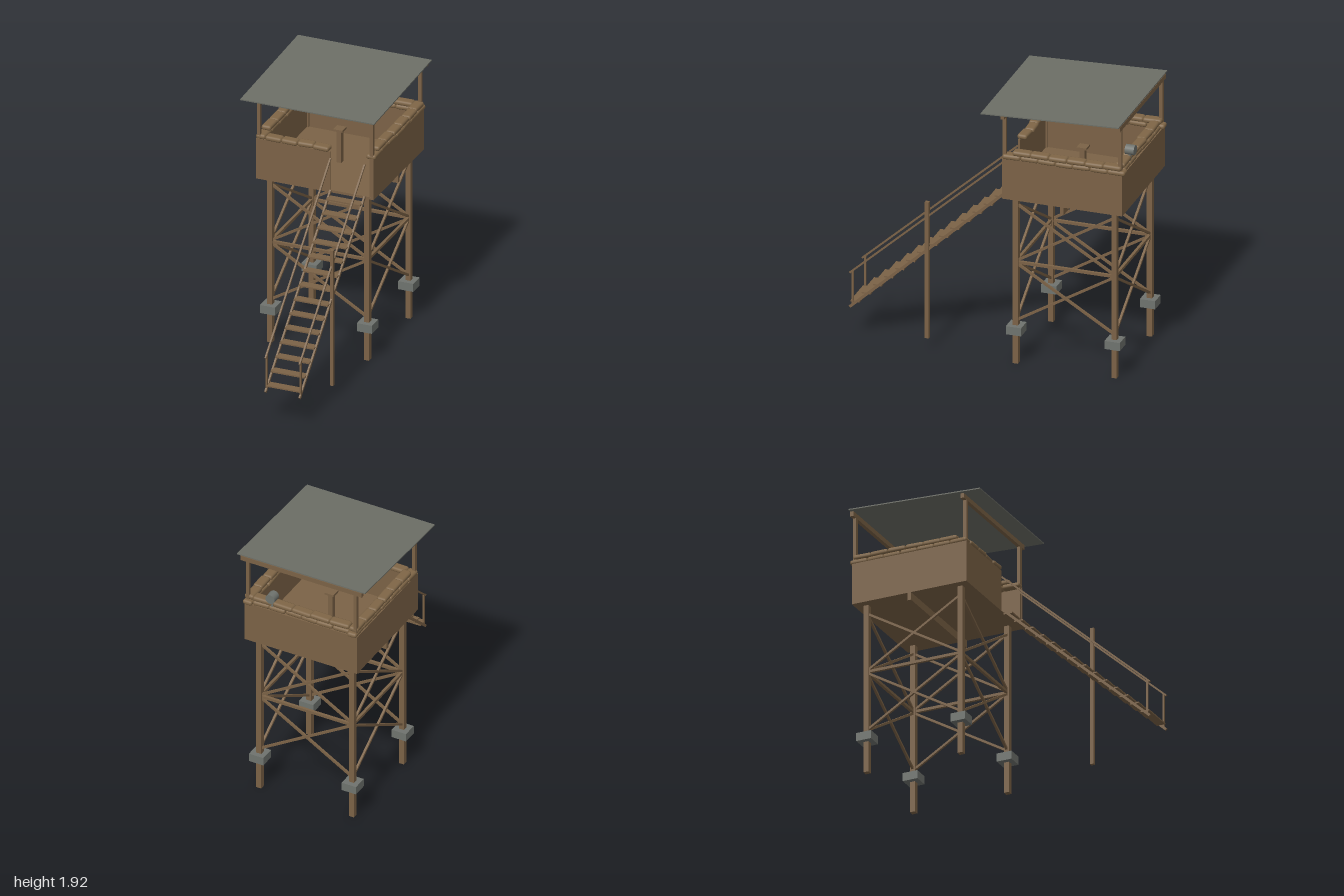
import * as THREE from 'three';
import { RoundedBoxGeometry } from 'three/addons/geometries/RoundedBoxGeometry.js';

export function createModel() {
  const tower = new THREE.Group();
  tower.name = 'watchtower';
  const mat = (name, color) => {
    const m = new THREE.MeshStandardMaterial({ color });
    m.name = name;
    return m;
  };
  const wood = mat('wood', 0x7b6246);
  const sack = mat('sackcloth', 0x7f6647);
  const sheet = mat('roof sheet', 0x6c6e66);
  const stone = mat('concrete', 0x6f736e);

  const add = (name, geometry, material, x, y, z) => {
    const m = new THREE.Mesh(geometry, material);
    m.name = name;
    m.position.set(x, y, z);
    tower.add(m);
    return m;
  };
  // Box given by its lower and upper limits on each axis
  const box = (name, material, x0, x1, y0, y1, z0, z1) =>
    add(name, new THREE.BoxGeometry(x1 - x0, y1 - y0, z1 - z0), material,
      (x0 + x1) / 2, (y0 + y1) / 2, (z0 + z1) / 2);
  // Square timber running between two points
  const beam = (name, a, b, w, h = w) => {
    const p = new THREE.Vector3(...a), q = new THREE.Vector3(...b);
    const m = add(name, new THREE.BoxGeometry(w, h, p.distanceTo(q)), wood, 0, 0, 0);
    m.position.copy(p).add(q).multiplyScalar(0.5);
    m.lookAt(q);
    return m;
  };

  // Legs with concrete footings
  const LX = 0.355, ZF = -0.19, ZB = -0.895;
  for (const x of [-LX, LX]) for (const z of [ZF, ZB]) {
    box('leg', wood, x - 0.019, x + 0.019, 0, 1.25, z - 0.019, z + 0.019);
    box('footing', stone, x - 0.055, x + 0.055, 0.224, 0.284, z - 0.055, z + 0.055);
  }

  // Two crosses and a middle rail on each side of the frame
  const sides = [
    [[-LX, ZF], [LX, ZF]], [[-LX, ZB], [LX, ZB]],
    [[-LX, ZF], [-LX, ZB]], [[LX, ZF], [LX, ZB]],
  ];
  for (const [[ax, az], [bx, bz]] of sides) {
    beam('middleRail', [ax, 0.747, az], [bx, 0.747, bz], 0.02);
    for (const [lo, hi] of [[0.315, 0.74], [0.755, 1.18]]) {
      beam('crossBrace', [ax, lo, az], [bx, hi, bz], 0.016);
      beam('crossBrace', [ax, hi, az], [bx, lo, bz], 0.016);
    }
  }

  // Platform
  const W = 0.43, F = -0.115, B = -0.973, T = 0.016;
  box('floor', wood, -W, W, 1.236, 1.254, B, F);
  box('floorBeam', wood, -W, W, 1.18, 1.236, -0.555, -0.53);
  box('backWall', wood, -W, W, 1.254, 1.535, B, B + T);
  box('rightWall', wood, -W, -W + T, 1.254, 1.535, B + T, F);
  box('leftWall', wood, W - T, W, 1.254, 1.535, B + T, F);
  box('frontWall', wood, -W + T, 0.11, 1.254, 1.535, F - T, F);

  // Pedestal in the middle of the platform
  box('pedestalPost', wood, -0.018, 0.018, 1.254, 1.49, -0.56, -0.524);
  box('pedestalTop', wood, -0.035, 0.035, 1.49, 1.505, -0.577, -0.507);

  // Sandbag rows
  let seed = 7;
  const jitter = (s) => {
    seed = (seed * 16807) % 2147483647;
    return (seed / 2147483647 - 0.5) * s;
  };
  const bagRow = (ax, az, bx, bz, y, n) => {
    const len = Math.hypot(bx - ax, bz - az) / n;
    const turn = Math.atan2(-(bz - az), bx - ax);
    for (let i = 0; i < n; i++) {
      const t = (i + 0.5) / n;
      const bag = add('sandbag', new RoundedBoxGeometry(len * 1.03, 0.036, 0.07, 2, 0.016), sack,
        ax + (bx - ax) * t + jitter(0.008), y, az + (bz - az) * t + jitter(0.008));
      bag.rotation.y = turn + jitter(0.1);
    }
  };
  const LOW = 1.55, HIGH = 1.583;
  for (const x of [-0.395, 0.405]) {
    bagRow(x, -0.12, x, -0.99, LOW, 7);
    bagRow(x, -0.19, x, -0.965, HIGH, 6);
  }
  bagRow(-0.36, -0.935, 0.37, -0.935, LOW, 6);
  bagRow(-0.36, -0.935, 0.37, -0.935, HIGH, 5);
  bagRow(-0.36, -0.145, 0.1, -0.145, LOW, 4);

  // Roof posts, beams and the sloping sheet
  for (const x of [-0.413, 0.413]) {
    box('roofPost', wood, x - 0.012, x + 0.012, 1.254, 1.85, -0.142, -0.118);
    box('roofPost', wood, x - 0.012, x + 0.012, 1.254, 1.88, -0.967, -0.943);
  }
  box('frontRoofBeam', wood, -0.465, 0.465, 1.84, 1.874, -0.143, -0.117);
  box('backRoofBeam', wood, -0.465, 0.465, 1.873, 1.908, -0.97, -0.944);
  const roof = add('roof', new THREE.BoxGeometry(0.98, 0.008, 0.986), sheet, 0, 1.893, -0.477);
  roof.rotation.x = Math.atan2(0.043, 0.985);

  // Searchlight on the back wall
  const lamp = add('searchlight', new THREE.CylinderGeometry(0.035, 0.035, 0.065, 20), stone, 0.225, 1.642, -0.962);
  lamp.rotation.x = Math.PI / 2;
  box('searchlightStand', stone, 0.217, 0.233, 1.535, 1.615, -0.965, -0.95);

  // Stairs with handrails
  const SL = 0.115, SR = 0.365;
  for (const x of [SL, SR]) {
    beam('stringer', [x, 0.235, 0.995], [x, 1.25, F], 0.013, 0.018);
    beam('handrail', [x, 0.487, 0.995], [x, 1.49, F], 0.012);
    box('railPost', wood, x - 0.006, x + 0.006, 0.255, 0.5, 0.967, 0.981);
  }
  for (let i = 0; i < 14; i++) {
    const z = 0.957 - i * 0.079, y = 0.279 + i * 0.072;
    box('tread', wood, SL, SR, y - 0.005, y + 0.005, z - 0.032, z + 0.032);
  }
  box('stairPost', wood, 0.355, 0.378, 0.09, 1.1, 0.427, 0.455);

  return tower;
}
